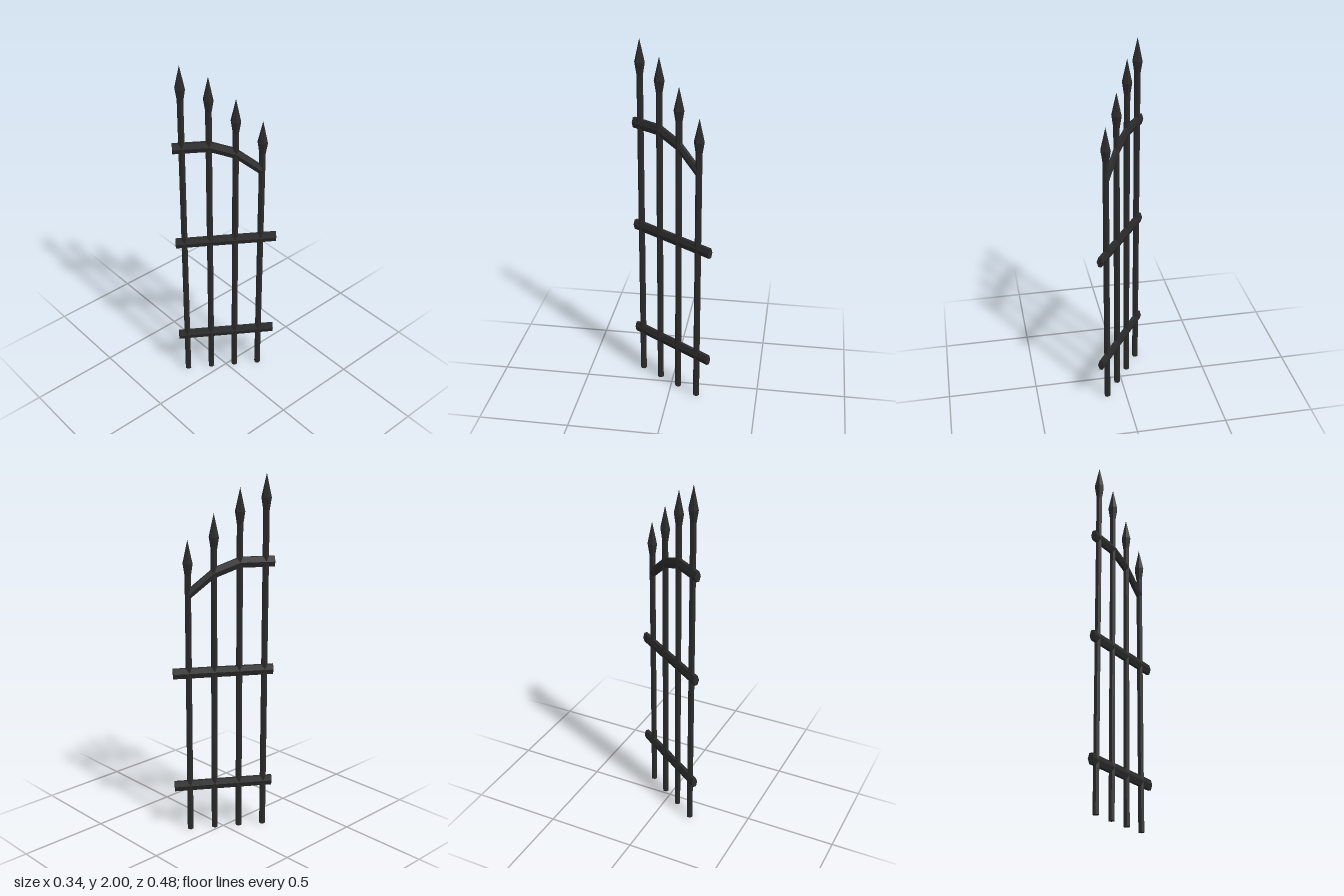
import * as THREE from 'three';

// Unit direction of the fence line on the ground (x, z)
const DIR = new THREE.Vector2(0.558, -0.83);

// Hexagonal bar following [distance along fence, height] points
function railGeometry(path, halfWidth, halfHeight) {
  const pos = [], index = [], n = 6;
  for (const [t, y] of path) {
    for (let j = 0; j < n; j++) {
      const a = (j / n) * Math.PI * 2;
      const w = Math.cos(a) * halfWidth;
      const h = (Math.sin(a) / Math.sin(Math.PI / 3)) * halfHeight;
      pos.push(DIR.x * t - DIR.y * w, y + h, DIR.y * t + DIR.x * w);
    }
  }
  const last = (path.length - 1) * n;
  for (let i = 0; i < last; i += n) {
    for (let j = 0; j < n; j++) {
      const k = (j + 1) % n;
      index.push(i + j, i + n + j, i + k, i + k, i + n + j, i + n + k);
    }
  }
  // End caps
  for (let j = 1; j < n - 1; j++) {
    index.push(0, j, j + 1, last, last + j + 1, last + j);
  }
  const g = new THREE.BufferGeometry();
  g.setAttribute('position', new THREE.Float32BufferAttribute(pos, 3));
  g.setIndex(index);
  g.computeVertexNormals();
  return g;
}

export function createModel() {
  const group = new THREE.Group();
  group.name = 'ironFence';
  const iron = new THREE.MeshStandardMaterial({ color: 0x2a2a2a, flatShading: true });
  iron.name = 'blackIron';

  const add = (name, geometry, x = 0, y = 0, z = 0) => {
    const mesh = new THREE.Mesh(geometry, iron);
    mesh.name = name;
    mesh.position.set(x, y, z);
    group.add(mesh);
  };

  // Upright bars with spear points, stepping down along the fence
  const spear = new THREE.LatheGeometry(
    [[0.0175, -0.19], [0.028, -0.125], [0, 0]].map(([r, y]) => new THREE.Vector2(r, y)), 6);
  const posts = [-0.227, -0.088, 0.05, 0.189];
  const tips = [2, 1.93, 1.8, 1.665];
  posts.forEach((t, i) => {
    const x = DIR.x * t, z = DIR.y * t;
    const height = tips[i] - 0.185;
    add('uprightBar' + (i + 1), new THREE.CylinderGeometry(0.0175, 0.0175, height, 6), x, height / 2, z);
    add('spearPoint' + (i + 1), spear, x, tips[i], z);
  });

  // Straight cross rails
  add('lowerRail', railGeometry([[-0.275, 0.27], [0.275, 0.27]], 0.0177, 0.028), 0, 0, 0);
  add('middleRail', railGeometry([[-0.275, 0.936], [0.275, 0.936]], 0.0177, 0.028), 0, 0, 0);

  // Upper rail bending down to the shortest bar
  add('curvedTopRail', railGeometry(
    [[-0.275, 1.537], [posts[0], 1.537], [posts[1], 1.537], [posts[2], 1.485], [posts[3], 1.372]],
    0.0177, 0.028));

  return group;
}
